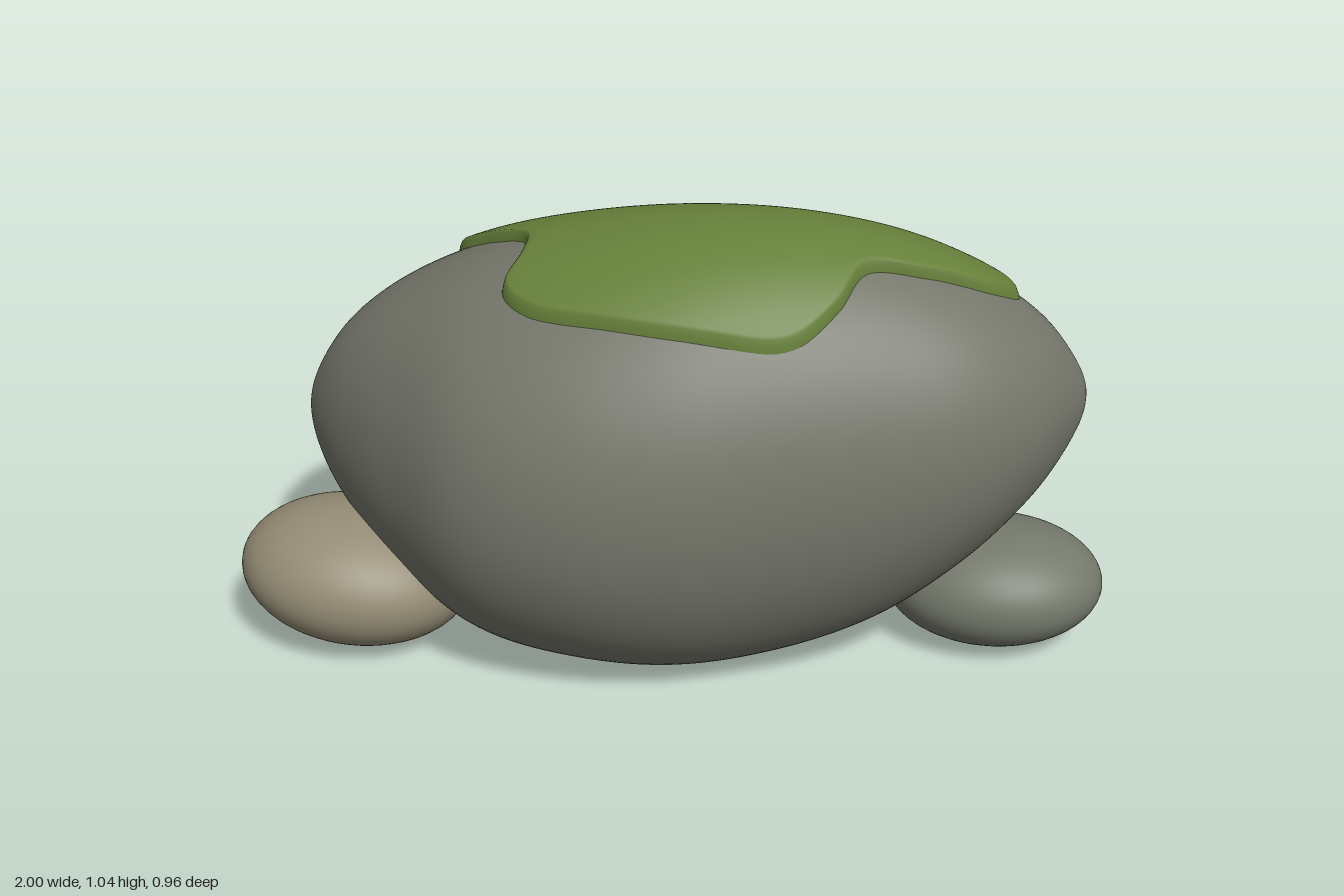
import * as THREE from 'three';
import { mergeVertices } from 'three/addons/utils/BufferGeometryUtils.js';

// Boulder cross-sections from left end to right end, evenly spaced in angle:
// [top y, bottom y, widest y, back z, front z]
const SECTIONS = [
  [0.50, 0.50, 0.50, -0.06, -0.06],
  [0.61, 0.37, 0.49, -0.14, 0.02],
  [0.735, 0.24, 0.48, -0.26, 0.14],
  [0.84, 0.11, 0.47, -0.38, 0.28],
  [0.925, 0.02, 0.46, -0.462, 0.42],
  [0.98, -0.02, 0.46, -0.485, 0.475],
  [1.012, -0.03, 0.47, -0.462, 0.465],
  [1.012, 0.01, 0.49, -0.42, 0.405],
  [0.975, 0.095, 0.52, -0.385, 0.335],
  [0.905, 0.235, 0.56, -0.335, 0.255],
  [0.81, 0.38, 0.60, -0.265, 0.14],
  [0.70, 0.51, 0.61, -0.17, 0.0],
  [0.61, 0.61, 0.61, -0.10, -0.10],
];
const MID_X = 0.03, HALF_X = 0.89, FLOOR = 0.038;

// Moss outline seen from above: [x, z]
const MOSS = [
  [-0.52, -0.2], [-0.45, -0.26], [-0.3, -0.285], [-0.05, -0.275], [0.2, -0.29],
  [0.36, -0.25], [0.55, -0.19], [0.7, -0.15], [0.755, -0.08], [0.7, -0.01],
  [0.55, 0.055], [0.425, 0.1], [0.37, 0.2], [0.28, 0.28], [0.1, 0.305],
  [-0.1, 0.29], [-0.28, 0.24], [-0.345, 0.17], [-0.325, 0.08], [-0.33, -0.01],
  [-0.42, -0.08], [-0.5, -0.14],
];

const spline = new THREE.CubicInterpolant(
  new Float32Array(SECTIONS.map((_, i) => i)), new Float32Array(SECTIONS.flat()), 5);

// Section at angle t (0 left end, PI right end)
function section(t) {
  const [top, bottom, cy, back, front] = spline.evaluate((t / Math.PI) * (SECTIONS.length - 1));
  return { x: MID_X - HALF_X * Math.cos(t), top, bottom, cy, cz: (front + back) / 2, w: (front - back) / 2 };
}

// Height of the boulder's upper surface
function surfaceY(x, z) {
  const s = section(Math.acos(THREE.MathUtils.clamp((MID_X - x) / HALF_X, -1, 1)));
  const u = Math.min(1, Math.abs(z - s.cz) / s.w);
  return s.cy + (s.top - s.cy) * Math.sqrt(1 - u * u);
}

// Smooth surface from a grid of points
function gridGeometry(nu, nv, point) {
  const pos = [], index = [];
  for (let i = 0; i <= nu; i++) for (let j = 0; j <= nv; j++) pos.push(...point(i / nu, j / nv));
  for (let i = 0; i < nu; i++) for (let j = 0; j < nv; j++) {
    const a = i * (nv + 1) + j, b = a + nv + 1;
    index.push(a, b, a + 1, b, b + 1, a + 1);
  }
  let geo = new THREE.BufferGeometry();
  geo.setAttribute('position', new THREE.Float32BufferAttribute(pos, 3));
  geo.setIndex(index);
  geo = mergeVertices(geo, 1e-5);
  geo.computeVertexNormals();
  return geo;
}

function addMesh(group, name, geometry, color, double = false) {
  const material = new THREE.MeshStandardMaterial({ color });
  if (double) material.side = THREE.DoubleSide;
  const mesh = new THREE.Mesh(geometry, material);
  mesh.name = name;
  group.add(mesh);
  return mesh;
}

export function createModel() {
  const group = new THREE.Group();
  group.name = 'mossyBoulder';

  // Boulder: egg-shaped sections, cut flat underneath
  addMesh(group, 'boulder', gridGeometry(96, 96, (u, v) => {
    const s = section(u * Math.PI), a = v * Math.PI * 2;
    const h = Math.sin(a);
    const y = s.cy + h * (h > 0 ? s.top - s.cy : s.cy - s.bottom);
    return [s.x, Math.max(FLOOR, y), s.cz + s.w * Math.cos(a)];
  }), 0x74766a);

  // Moss: a thin blanket over the top with a rounded lip tucked into the rock
  const outline = new THREE.CatmullRomCurve3(
    MOSS.map(([x, z]) => new THREE.Vector3(x, 0, z)), true, 'centripetal');
  const ROWS = 28, LIP = 4, cx = 0.1, cz = -0.01;
  addMesh(group, 'mossCap', gridGeometry(220, ROWS, (u, v) => {
    const p = outline.getPoint(u % 1), row = Math.round(v * ROWS);
    const lip = Math.max(0, row - (ROWS - LIP)) / LIP;
    const s = row <= ROWS - LIP ? 0.97 * row / (ROWS - LIP) : 0.97 + 0.03 * Math.sin(lip * Math.PI / 2);
    const x = cx + (p.x - cx) * s, z = cz + (p.z - cz) * s;
    const lift = 0.026 - 0.05 * (1 - Math.cos(lip * Math.PI / 2));
    return [x, surfaceY(x, z) + lift, z];
  }), 0x66803a, true);

  // Pebbles: squashed spheres, slightly tilted
  const pebbles = [
    ['rightPebble', [-0.73, 0.164, 0.11], [0.271, 0.159, 0.22], -0.12, 0x938b74],
    ['leftPebble', [0.747, 0.142, -0.063], [0.253, 0.141, 0.198], 0.03, 0x74796b],
  ];
  for (const [name, position, radii, tilt, color] of pebbles) {
    const pebble = addMesh(group, name, new THREE.SphereGeometry(1, 48, 32), color);
    pebble.position.set(...position);
    pebble.scale.set(...radii);
    pebble.rotation.z = tilt;
  }
  return group;
}
